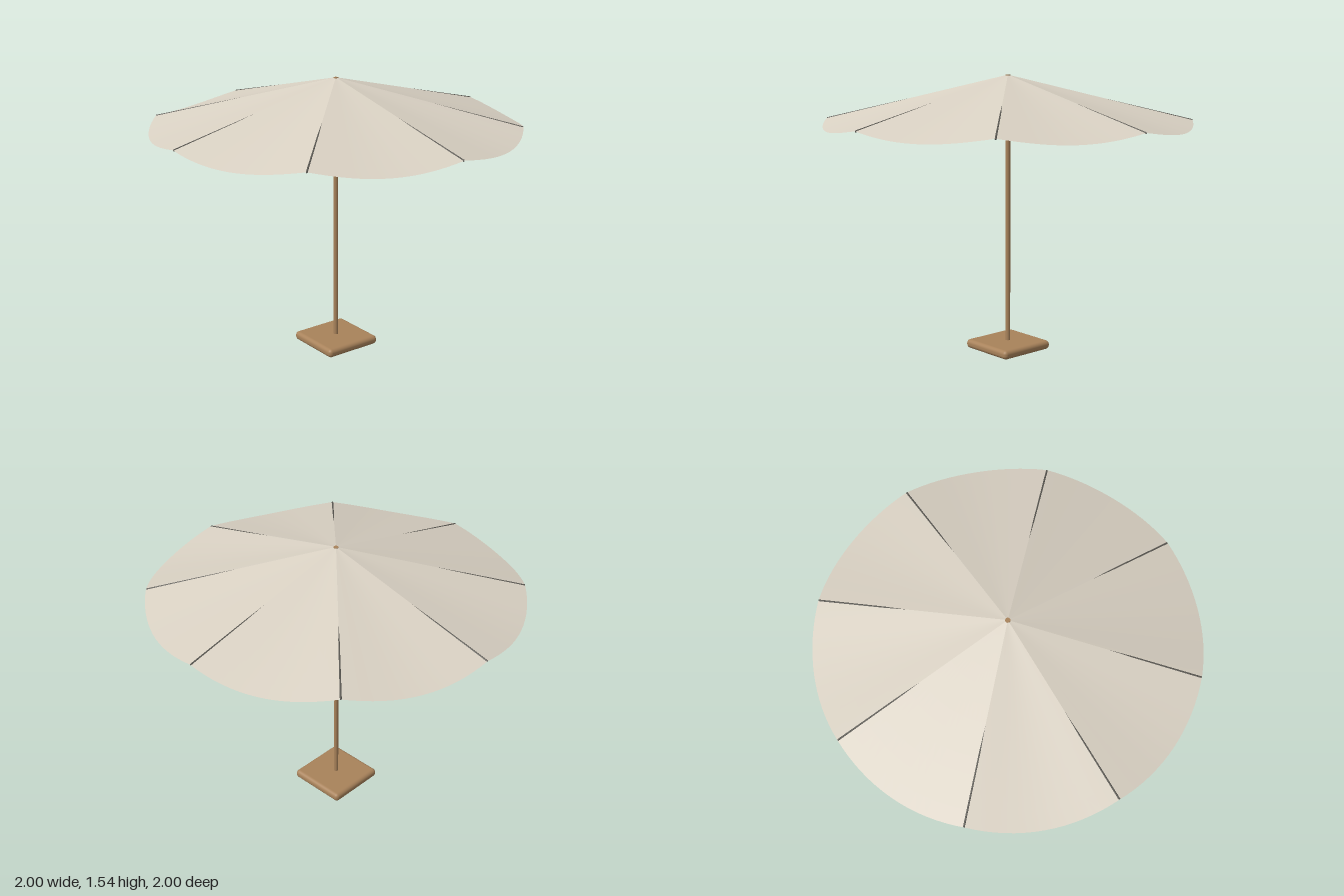
import * as THREE from 'three';
import { RoundedBoxGeometry } from 'three/addons/geometries/RoundedBoxGeometry.js';

const PANELS = 8;
const APEX = 1.54, RIM = 1.3, SAG = 0.036;

// One fabric panel between two ribs, its hem sagging in the middle
function panelGeometry(radial = 12, around = 16) {
  const pos = [], idx = [];
  const span = (Math.PI * 2) / PANELS;
  for (let i = 0; i <= radial; i++) {
    const r = i / radial;
    for (let j = 0; j <= around; j++) {
      const t = j / around, a = t * span;
      const y = APEX - (APEX - RIM) * r - SAG * r * Math.sin(Math.PI * t);
      pos.push(r * Math.sin(a), y, r * Math.cos(a));
    }
  }
  const row = around + 1;
  for (let i = 0; i < radial; i++) {
    for (let j = 0; j < around; j++) {
      const a = i * row + j, b = a + row;
      idx.push(a, b, b + 1);
      if (i > 0) idx.push(a, b + 1, a + 1);
    }
  }
  const g = new THREE.BufferGeometry();
  g.setAttribute('position', new THREE.Float32BufferAttribute(pos, 3));
  g.setIndex(idx);
  g.computeVertexNormals();
  return g;
}

export function createModel() {
  const model = new THREE.Group();
  model.name = 'parasol';

  const fabric = new THREE.MeshStandardMaterial({ color: 0xd8d0c2, side: THREE.DoubleSide });
  fabric.name = 'cream fabric';
  const wood = new THREE.MeshStandardMaterial({ color: 0xa8825a });
  wood.name = 'wood';
  const ribMat = new THREE.MeshStandardMaterial({ color: 0x5c5a54 });
  ribMat.name = 'dark rib';

  const add = (parent, name, geometry, material) => {
    const mesh = new THREE.Mesh(geometry, material);
    mesh.name = name;
    parent.add(mesh);
    return mesh;
  };

  // Base slab with rounded edges
  add(model, 'base', new RoundedBoxGeometry(0.34, 0.05, 0.34, 4, 0.022), wood).position.y = 0.025;

  // Pole, just showing through the canopy tip
  const poleBottom = 0.04;
  add(model, 'pole', new THREE.CylinderGeometry(0.013, 0.013, APEX - poleBottom, 20), wood)
    .position.y = (APEX + poleBottom) / 2;

  // Canopy panels and ribs
  const canopy = new THREE.Group();
  canopy.name = 'canopy';
  const ribs = new THREE.Group();
  ribs.name = 'ribs';
  model.add(canopy, ribs);

  const panel = panelGeometry();
  const inner = new THREE.Vector3(0, 1.531, 0), outer = new THREE.Vector3(0, 1.299, 0.998);
  const rib = new THREE.TubeGeometry(new THREE.LineCurve3(inner, outer), 1, 0.005, 8);
  const tip = new THREE.SphereGeometry(0.005, 8, 6).translate(0, outer.y, 0.995);

  for (let i = 0; i < PANELS; i++) {
    const angle = (i / PANELS) * Math.PI * 2;
    add(canopy, 'canopyPanel', panel, fabric).rotation.y = angle;
    add(ribs, 'rib', rib, ribMat).rotation.y = angle;
    add(ribs, 'ribTip', tip, ribMat).rotation.y = angle;
  }
  return model;
}
